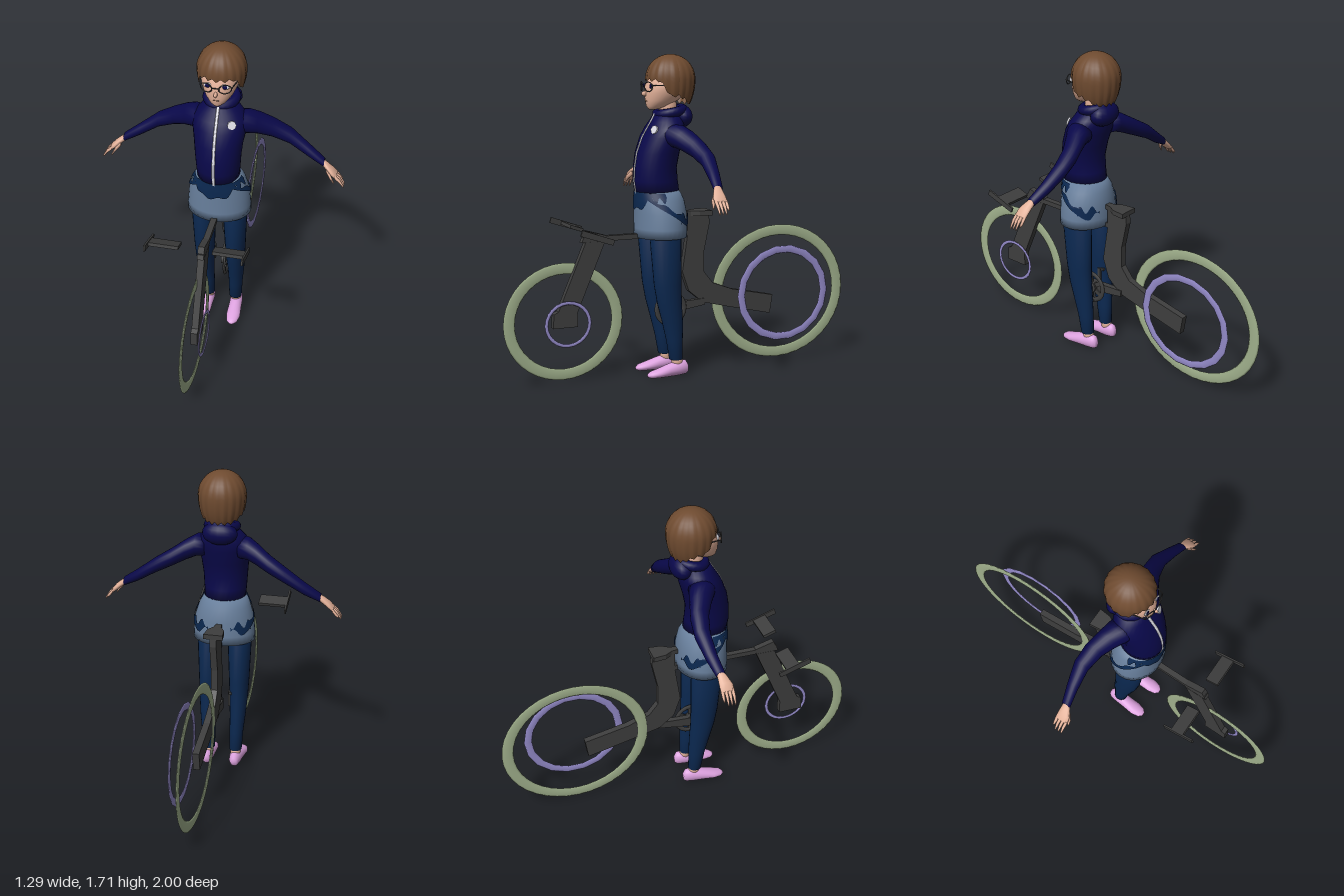
import * as THREE from 'three';
import { ParametricGeometry } from 'three/addons/geometries/ParametricGeometry.js';

const mat = (name, color, side = THREE.FrontSide) => {
  const m = new THREE.MeshStandardMaterial({ color, side });
  m.name = name;
  return m;
};

// Rows are [x, y, z, a, b]: elliptical rings stacked along an axis, in increasing order.
// Radii: axis y -> a in x, b in z; axis x -> a in y, b in z; axis z -> a in y, b in x.
function loft(rows, axis = 'y', n = 20) {
  const pos = [], idx = [];
  for (const [x, y, z, a, b] of rows) {
    for (let j = 0; j < n; j++) {
      const t = (j / n) * Math.PI * 2, c = Math.cos(t), s = Math.sin(t);
      if (axis === 'y') pos.push(x + a * c, y, z + b * s);
      else if (axis === 'x') pos.push(x, y + a * s, z + b * c);
      else pos.push(x + b * s, y + a * c, z);
    }
  }
  const last = (rows.length - 1) * n, c0 = rows.length * n;
  pos.push(...rows[0].slice(0, 3), ...rows[rows.length - 1].slice(0, 3));
  for (let j = 0; j < n; j++) {
    const k = (j + 1) % n;
    for (let i = 0; i < last; i += n) idx.push(i + j, i + n + j, i + k, i + k, i + n + j, i + n + k);
    idx.push(c0, j, k, c0 + 1, last + k, last + j);
  }
  const g = new THREE.BufferGeometry();
  g.setAttribute('position', new THREE.Float32BufferAttribute(pos, 3));
  g.setIndex(idx);
  g.computeVertexNormals();
  return g;
}

// Rows for the model's left (s = 1) or right (s = -1) side
function sided(rows, s, axis) {
  const out = rows.map(([x, ...r]) => [s * x, ...r]);
  return s < 0 && axis === 'x' ? out.reverse() : out;
}

// Plate with a (z, y) outline, centred on the given x
function sidePlate(points, x, thick) {
  const shape = new THREE.Shape(points.map(p => new THREE.Vector2(...p)));
  const g = new THREE.ExtrudeGeometry(shape, { depth: thick, bevelEnabled: false });
  return g.rotateY(-Math.PI / 2).translate(x + thick / 2, 0, 0);
}

// Flattened elliptical ring standing in the z-y plane
function ring(major, tube, squash, x, y, z, thin, segments) {
  return new THREE.TorusGeometry(major, tube, 8, segments)
    .rotateY(Math.PI / 2).scale(thin, squash, 1).translate(x, y, z);
}

const ball = (x, y, z, rx, ry, rz) => new THREE.SphereGeometry(1, 16, 12).scale(rx, ry, rz).translate(x, y, z);

export function createModel() {
  const root = new THREE.Group();
  const jacket = mat('jacketNavy', 0x09084a), skirtBlue = mat('skirtBlue', 0x687f9c);
  const denim = mat('leggingsBlue', 0x0b2850, THREE.DoubleSide), tyre = mat('tyreGreen', 0xa0b08c);
  const purple = mat('rimPurple', 0x938ac8), metal = mat('frameGrey', 0x3e3e3e);
  const pink = mat('shoePink', 0xdda2df), skin = mat('skin', 0xe3b199);
  const brown = mat('hairBrown', 0x6f4b30, THREE.DoubleSide), white = mat('white', 0xe2e2ea);
  const add = (name, geo, m) => {
    const mesh = new THREE.Mesh(geo, m);
    mesh.name = name;
    root.add(mesh);
    return mesh;
  };

  // Wheels and the loose rims beside them
  add('frontTyre', ring(0.296, 0.031, 0.951, -0.013, 0.33, 0.672, 0.15, 40), tyre);
  add('rearTyre', ring(0.378, 0.032, 0.915, -0.016, 0.39, -0.587, 0.15, 40), tyre);
  add('frontRim', ring(0.118, 0.01, 0.96, 0.037, 0.325, 0.665, 0.4, 24), purple);
  add('rearRim', ring(0.257, 0.022, 0.96, 0.06, 0.394, -0.579, 0.22, 18), purple);

  // Bike frame
  add('seatTubeAndChainstay', sidePlate([
    [-0.02, 0.85], [-0.145, 0.85], [-0.15, 0.807], [-0.118, 0.657], [-0.118, 0.54], [-0.17, 0.475],
    [-0.29, 0.43], [-0.536, 0.378], [-0.52, 0.276], [-0.263, 0.335], [-0.11, 0.373], [-0.027, 0.442],
    [0.01, 0.55], [-0.02, 0.748]], 0, 0.036), metal);
  add('topTube', sidePlate([[0.57, 0.745], [-0.025, 0.745], [-0.025, 0.772], [0.57, 0.772]], 0, 0.032), metal);
  add('fork', sidePlate([[0.557, 0.745], [0.45, 0.745], [0.606, 0.378], [0.606, 0.303], [0.74, 0.303],
    [0.735, 0.378], [0.71, 0.39]], 0, 0.036), metal);
  add('stem', sidePlate([[0.58, 0.743], [0.45, 0.743], [0.445, 0.775], [0.55, 0.805]], 0, 0.034), metal);
  add('bottomBracket', sidePlate([[0.08, 0.385], [-0.12, 0.395], [-0.12, 0.36], [0.08, 0.33]], 0.01, 0.03), metal);
  const saddle = new THREE.Shape([[-0.052, -0.15], [0.052, -0.15], [0.045, -0.08], [0.02, -0.04], [0.014, 0.005],
    [-0.014, 0.005], [-0.02, -0.04], [-0.045, -0.08]].map(p => new THREE.Vector2(...p)));
  add('saddle', new THREE.ExtrudeGeometry(saddle, { depth: 0.027, bevelEnabled: false })
    .rotateX(Math.PI / 2).translate(0, 0.877, 0), metal);

  // Handlebar halves with end plates
  for (const [x0, x1] of [[-0.27, -0.11], [0.23, 0.065]]) {
    add('handlebar', new THREE.BoxGeometry(Math.abs(x1 - x0), 0.018, 0.075).rotateX(-0.33)
      .translate((x0 + x1) / 2, 0.8, 0.56), metal);
    add('handlebarEnd', sidePlate([[0.65, 0.845], [0.477, 0.785], [0.488, 0.758], [0.66, 0.815]], x0, 0.01), metal);
  }

  // Chainring, spokes, cranks and pedals
  add('chainring', ring(0.08, 0.014, 1, 0.03, 0.357, 0.085, 0.5, 20), metal);
  add('chainringHub', new THREE.CylinderGeometry(0.035, 0.035, 0.04, 12).rotateZ(Math.PI / 2)
    .translate(0.022, 0.357, 0.085), metal);
  for (let i = 0; i < 3; i++) {
    add('chainringSpoke', new THREE.BoxGeometry(0.008, 0.155, 0.024).rotateX((i * Math.PI) / 3)
      .translate(0.03, 0.357, 0.085), metal);
  }
  for (const s of [1, -1]) {
    add('crank', new THREE.BoxGeometry(0.012, 0.09, 0.02).translate(s * 0.038, 0.357 - s * 0.04, 0.085), metal);
    add('pedal', new THREE.BoxGeometry(0.05, 0.014, 0.05).translate(s * 0.065, 0.357 - s * 0.08, 0.085), metal);
  }

  // Jacket body, hood and zip
  const torso = [[0, 0.985, 0.15, 0.112, 0.12], [0, 1.05, 0.16, 0.115, 0.12], [0, 1.12, 0.162, 0.12, 0.115],
    [0, 1.2, 0.148, 0.128, 0.116], [0, 1.28, 0.122, 0.142, 0.112], [0, 1.325, 0.107, 0.14, 0.1],
    [0, 1.36, 0.097, 0.11, 0.088], [0, 1.405, 0.09, 0.068, 0.07]];
  add('jacketBody', loft(torso, 'y', 28), jacket);
  add('zip', loft(torso.map(([x, y, z, , b]) => [x, y, z + b, 0.008, 0.004]), 'y', 6), white);
  add('hoodCollar', new THREE.TorusGeometry(0.068, 0.026, 10, 24).rotateX(Math.PI / 2).scale(1.05, 1, 1)
    .rotateX(0.2).translate(0, 1.41, 0.075), jacket);
  add('hood', ball(0, 1.385, 0.015, 0.095, 0.062, 0.058), jacket);
  const badge = add('chestBadge', new THREE.CylinderGeometry(0.023, 0.023, 0.009, 8).rotateX(Math.PI / 2), white);
  badge.position.set(0.078, 1.322, 0.196);
  badge.lookAt(0.078 + 0.35, 1.322 + 0.3, 0.196 + 0.85);

  // Skirt and the dark patches lying on it
  const skirt = [[0, 0.752, 0.132, 0.17, 0.139], [0, 0.8, 0.132, 0.168, 0.138], [0, 0.88, 0.132, 0.16, 0.137],
    [0, 0.95, 0.138, 0.138, 0.131], [0, 1.0, 0.15, 0.11, 0.117]];
  add('skirt', loft(skirt, 'y', 32), skirtBlue);
  const patch = (name, t0, t1, low, high) => add(name, new ParametricGeometry((u, v, target) => {
    const t = t0 + (t1 - t0) * u, y = low(u) + (high(u) - low(u)) * v;
    const i = Math.max(0, Math.min(skirt.length - 2, skirt.findIndex(r => r[1] > y) - 1));
    const f = (y - skirt[i][1]) / (skirt[i + 1][1] - skirt[i][1]);
    const [, , z, a, b] = skirt[i].map((p, k) => p + (skirt[i + 1][k] - p) * f);
    target.set((a + 0.006) * Math.cos(t), y, z + (b + 0.006) * Math.sin(t));
  }, 20, 6), denim);
  patch('frontPatch', Math.PI / 2 - 0.85, Math.PI / 2 + 0.85,
    u => 0.905 + 0.07 * Math.pow(Math.abs(2 * u - 1), 3) + 0.008 * Math.sin(u * 19), () => 0.995);
  for (const s of [1, -1]) {
    const turn = t => (s > 0 ? t : Math.PI - t);
    patch('hipBand', turn(0.95), turn(-0.75), u => 0.965 - 0.155 * u, u => 0.988 - 0.14 * u + 0.008 * Math.sin(u * 17));
    patch('hipPatch', turn(-0.4), turn(-1.2), u => 0.83 + 0.02 * Math.sin(u * 9), u => 0.87 + 0.02 * Math.sin(u * 12));
    patch('sidePatch', turn(0.75), turn(0.05), u => 0.955 + 0.015 * Math.sin(u * 14), () => 0.99);
  }

  // Limbs, mirrored
  for (const s of [1, -1]) {
    const limb = (name, rows, axis, m, n) => add(name, loft(sided(rows, s, axis), axis, n), m);
    limb('leg', [[0.077, 0.09, 0.075, 0.035, 0.036], [0.08, 0.2, 0.085, 0.038, 0.046], [0.084, 0.3, 0.098, 0.044, 0.058],
      [0.085, 0.4, 0.115, 0.05, 0.068], [0.085, 0.5, 0.125, 0.055, 0.076], [0.084, 0.77, 0.137, 0.066, 0.088]], 'y', denim);
    limb('ankle', [[0.078, 0.05, 0.065, 0.028, 0.032], [0.077, 0.1, 0.072, 0.028, 0.03]], 'y', skin);
    limb('shoe', [[0.08, 0.037, 0.008, 0.022, 0.016], [0.08, 0.043, 0.022, 0.038, 0.028], [0.08, 0.042, 0.06, 0.041, 0.035],
      [0.083, 0.034, 0.12, 0.034, 0.036], [0.086, 0.024, 0.18, 0.024, 0.039], [0.086, 0.019, 0.222, 0.018, 0.03],
      [0.086, 0.016, 0.24, 0.008, 0.012]], 'z', pink);
    limb('sleeve', [[0.09, 1.29, 0.1, 0.06, 0.075], [0.14, 1.288, 0.085, 0.06, 0.07], [0.19, 1.268, 0.06, 0.056, 0.06],
      [0.26, 1.23, 0.03, 0.049, 0.05], [0.35, 1.181, 0.015, 0.042, 0.042], [0.45, 1.112, 0.028, 0.034, 0.032],
      [0.535, 1.06, 0.046, 0.024, 0.025]], 'x', jacket);
    limb('palm', [[0.52, 1.066, 0.045, 0.018, 0.018], [0.55, 1.045, 0.053, 0.02, 0.027], [0.58, 1.02, 0.06, 0.02, 0.036],
      [0.605, 0.997, 0.06, 0.015, 0.035]], 'x', skin, 12);
    for (let i = 0; i < 4; i++) {
      const z = 0.033 + i * 0.018, reach = i === 0 ? 0.028 : 0.04;
      limb('finger', [[0.598, 1.003, z, 0.011, 0.009], [0.6 + reach * 0.6, 0.98, z, 0.012, 0.008],
        [0.605 + reach, 1.005 - reach * 1.4, z, 0.007, 0.004]], 'x', skin, 8);
    }
    limb('thumb', [[0.55, 1.03, 0.07, 0.014, 0.012], [0.575, 1.003, 0.092, 0.013, 0.01],
      [0.595, 0.972, 0.098, 0.007, 0.005]], 'x', skin, 8);

    // Eyes and glasses
    const [ex, ey] = [s * 0.044, 1.546];
    add('eyeWhite', ball(ex, ey, 0.198, 0.022, 0.014, 0.006), white);
    add('iris', ball(ex, ey, 0.202, 0.012, 0.013, 0.005), jacket);
    add('glassesLens', new THREE.TorusGeometry(0.029, 0.003, 6, 20).scale(1.1, 0.85, 1).rotateY(s * 0.3)
      .translate(s * 0.048, 1.543, 0.216), metal);
    add('glassesArm', new THREE.BoxGeometry(0.004, 0.005, 0.11).rotateY(-s * 0.2)
      .translate(s * 0.091, 1.55, 0.155), metal);
  }
  add('glassesBridge', new THREE.BoxGeometry(0.034, 0.005, 0.004).translate(0, 1.546, 0.224), metal);

  // Neck and head
  add('neck', loft([[0, 1.36, 0.085, 0.05, 0.05], [0, 1.5, 0.09, 0.045, 0.045]]), skin);
  add('head', loft([[0, 1.424, 0.17, 0.02, 0.025], [0, 1.44, 0.15, 0.045, 0.056], [0, 1.47, 0.122, 0.072, 0.09],
    [0, 1.51, 0.102, 0.092, 0.112], [0, 1.545, 0.095, 0.1, 0.114], [0, 1.585, 0.086, 0.098, 0.104],
    [0, 1.64, 0.08, 0.08, 0.085]], 'y', 28), skin);
  add('nose', ball(0, 1.506, 0.216, 0.009, 0.014, 0.02), skin);
  add('mouth', ball(0, 1.468, 0.207, 0.019, 0.004, 0.006), brown);

  // Hair: a cap with a short fringe, longer sides and back, rippled into locks
  add('hair', new ParametricGeometry((u, v, target) => {
    const t = u * Math.PI * 2, front = Math.sin(t);
    const side = THREE.MathUtils.smoothstep(front, 0.3, 0.8);
    const lock = Math.abs(((u * 18) % 1) - 0.5);
    const low = 1.443 + 0.045 * THREE.MathUtils.smoothstep(front, -0.9, 0.1) + 0.08 * side + 0.03 * lock;
    const y = 1.71 - (1.71 - low) * (1 - Math.cos(v * Math.PI / 2)) - 0.0;
    const d = y > 1.58 ? (y - 1.58) / 0.13 : (1.58 - y) / 0.21;
    const r = Math.sqrt(Math.max(0, 1 - d * d)) * (1.01 - 0.08 * lock * v);
    target.set(0.126 * r * Math.cos(t), y, 0.072 + 0.132 * r * front);
  }, 72, 14), brown);

  return root;
}
